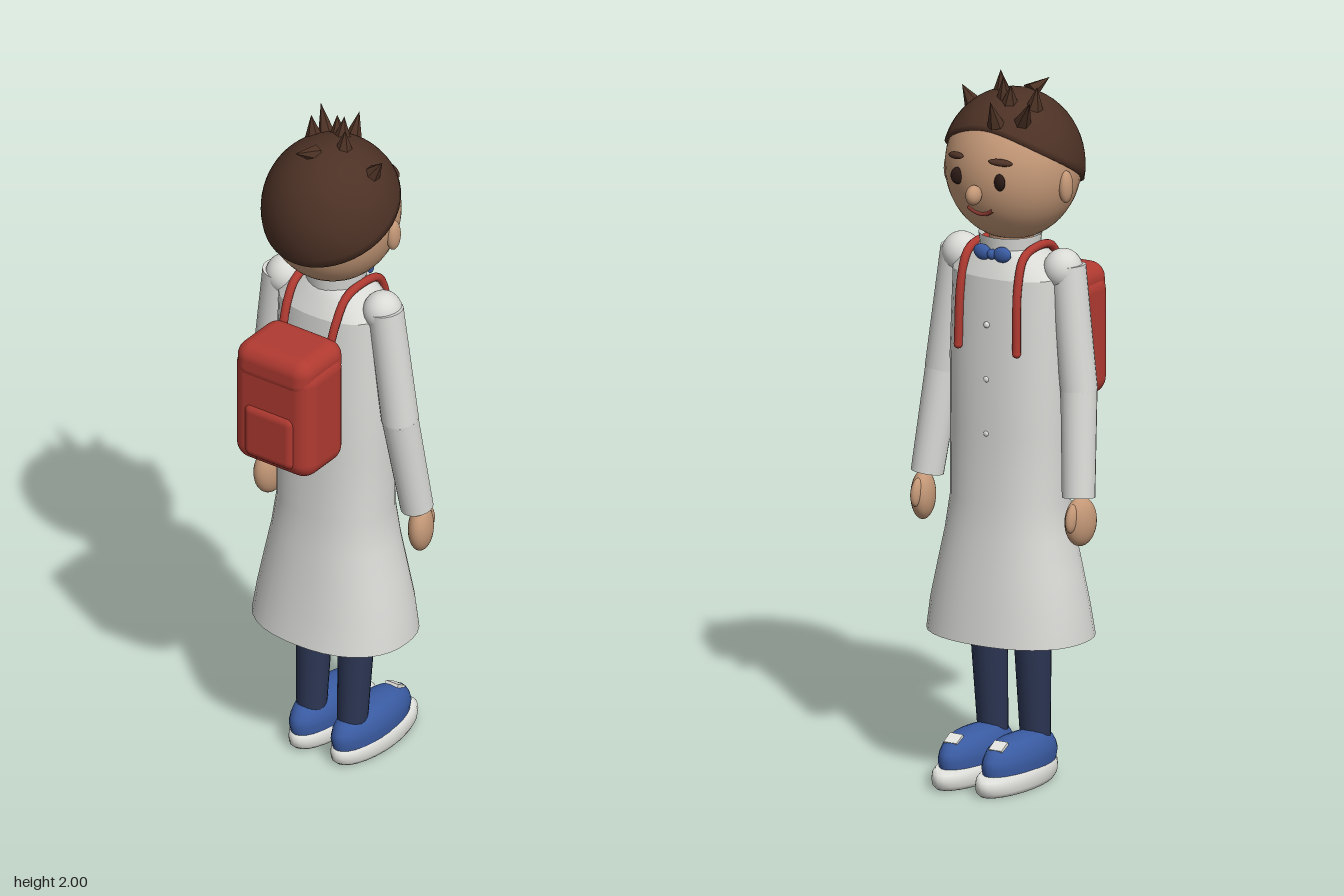
import * as THREE from 'three';
import { RoundedBoxGeometry } from 'three/addons/geometries/RoundedBoxGeometry.js';

const V = (x, y, z) => new THREE.Vector3(x, y, z);

export function createModel() {
  const model = new THREE.Group();
  const colour = (name, hex, extra = {}) => {
    const m = new THREE.MeshStandardMaterial({ color: hex, ...extra });
    m.name = name;
    return m;
  };
  const white = colour('coat white', 0xd9d9d6, { side: THREE.DoubleSide });
  const sole = colour('sole white', 0xe4e4e0);
  const skin = colour('skin', 0xc49877);
  const brown = colour('hair brown', 0x4c3125, { side: THREE.DoubleSide });
  const spikeBrown = colour('spike brown', 0x4c3124, { flatShading: true });
  const red = colour('bag red', 0xb03a31);
  const blue = colour('shoe blue', 0x3a5ba2);
  const navy = colour('trouser navy', 0x2c3654);
  const dark = colour('eye dark', 0x2a1a15);
  const lip = colour('mouth red', 0x8c3b31);

  const add = (name, geometry, material, pos = [0, 0, 0], scale = [1, 1, 1], rot = [0, 0, 0]) => {
    const mesh = new THREE.Mesh(geometry, material);
    mesh.name = name;
    mesh.position.set(...pos);
    mesh.scale.set(...scale);
    mesh.rotation.set(...rot);
    model.add(mesh);
    return mesh;
  };
  const ball = new THREE.SphereGeometry(1, 24, 18);
  const lathe = pts => new THREE.LatheGeometry(pts.map(p => new THREE.Vector2(...p)), 28);

  // tapered limb between two points
  const limb = (name, a, b, ra, rb, material) => {
    const mesh = add(name, new THREE.CylinderGeometry(rb, ra, a.distanceTo(b), 20), material);
    mesh.position.copy(a).lerp(b, 0.5);
    mesh.quaternion.setFromUnitVectors(V(0, 1, 0), b.clone().sub(a).normalize());
    return mesh;
  };

  // closed rings stacked upwards; ring(i, angle) gives a point
  const loft = (rows, cols, ring) => {
    const pos = [], idx = [];
    for (let i = 0; i < rows; i++) {
      for (let j = 0; j < cols; j++) {
        pos.push(...ring(i, (j / cols) * Math.PI * 2));
        if (i === rows - 1) continue;
        const a = i * cols + j, b = i * cols + ((j + 1) % cols);
        idx.push(a, a + cols, b, b, a + cols, b + cols);
      }
    }
    const g = new THREE.BufferGeometry();
    g.setAttribute('position', new THREE.Float32BufferAttribute(pos, 3));
    g.setIndex(idx);
    g.computeVertexNormals();
    return g;
  };
  // rows of [y, half width, half depth, centre z], slightly squared ovals
  const ovals = rows => loft(rows.length, 36, (i, a) => {
    const [y, rx, rz, cz] = rows[i], c = Math.cos(a), s = Math.sin(a);
    const k = Math.pow(Math.abs(c) ** 2.3 + Math.abs(s) ** 2.3, -1 / 2.3);
    return [c * k * rx, y, cz + s * k * rz];
  });

  // coat, open at the hem
  add('coat', ovals([
    [0.41, 0.24, 0.183, -0.027], [0.5, 0.228, 0.17, -0.03], [0.6, 0.207, 0.156, -0.03],
    [0.7, 0.185, 0.143, -0.03], [0.8, 0.17, 0.132, -0.03], [1.0, 0.174, 0.127, -0.028],
    [1.2, 0.175, 0.126, -0.028], [1.44, 0.168, 0.115, -0.028],
  ]), white);
  add('coatYoke', ovals([[1.44, 0.168, 0.115, -0.028], [1.49, 0.12, 0.095, -0.03], [1.515, 0.08, 0.08, -0.03]]), white);
  add('collar', new THREE.CylinderGeometry(0.088, 0.08, 0.07, 24, 1, true), white, [0, 1.515, -0.03]);
  add('neck', new THREE.CylinderGeometry(0.062, 0.062, 0.12, 20), skin, [0, 1.52, -0.025]);
  for (const y of [1.0, 1.155, 1.31]) add('button', ball, sole, [0, y, -0.152], [0.009, 0.009, 0.006]);

  // bow tie
  add('bowKnot', ball, blue, [0, 1.505, -0.125], [0.014, 0.015, 0.013]);

  // head and face
  const hc = V(0, 1.737, -0.015), hr = V(0.188, 0.207, 0.19);
  const faceZ = (x, y) => hc.z - hr.z * Math.sqrt(1 - (x / hr.x) ** 2 - ((y - hc.y) / hr.y) ** 2);
  add('head', new THREE.SphereGeometry(1, 40, 28), skin, hc.toArray(), hr.toArray());
  add('nose', ball, skin, [0, 1.695, -0.218], [0.021, 0.028, 0.027]);
  const smile = [-0.04, -0.02, 0, 0.02, 0.04].map(x => {
    const y = 1.633 + 10 * x * x;
    return V(x, y, faceZ(x, y));
  });
  add('mouth', new THREE.TubeGeometry(new THREE.CatmullRomCurve3(smile), 16, 0.006, 8), lip);

  // hair cap, low at the back and high over the forehead, with a turned-in rim
  const rows = 16;
  add('hair', loft(rows + 1, 48, (i, a) => {
    const c = Math.sin(a);
    const edge = Math.acos(0.06 - 0.52 * c + 0.04 * c * c);
    const t = edge * (1 - Math.max(0, i - 1) / (rows - 1));
    const k = i === 0 ? 0.93 : 1;
    return [0.199 * k * Math.sin(t) * Math.cos(a), hc.y + 0.215 * k * Math.cos(t), hc.z + 0.198 * k * Math.sin(t) * c];
  }), brown);

  // spikes: base x, z then tip x, y, z
  for (const [bx, bz, tx, ty, tz] of [
    [-0.03, -0.15, -0.03, 1.955, -0.18], [-0.09, -0.11, -0.137, 1.96, -0.147],
    [-0.09, -0.05, -0.103, 1.98, -0.055], [-0.03, -0.08, -0.04, 1.985, -0.09],
    [-0.005, -0.065, -0.005, 2.0, -0.075], [0.037, -0.015, 0.04, 2.0, -0.017],
    [0.13, -0.018, 0.165, 1.94, -0.018], [-0.02, 0.04, -0.038, 1.96, 0.11],
  ]) {
    const y = hc.y + 0.205 * Math.sqrt(1 - (bx / 0.199) ** 2 - ((bz - hc.z) / 0.198) ** 2);
    const base = V(bx, y, bz), tip = V(tx, ty, tz);
    const cone = add('hairSpike', new THREE.ConeGeometry(0.025, base.distanceTo(tip), 6), spikeBrown);
    cone.position.copy(base).lerp(tip, 0.5);
    cone.quaternion.setFromUnitVectors(V(0, 1, 0), tip.clone().sub(base).normalize());
  }

  // backpack
  add('backpackBody', new RoundedBoxGeometry(0.265, 0.35, 0.19, 5, 0.05), red, [0, 1.21, 0.19]);
  add('backpackFlap', new RoundedBoxGeometry(0.25, 0.115, 0.2, 5, 0.045), red, [0, 1.353, 0.188]);
  add('backpackPocket', new RoundedBoxGeometry(0.175, 0.172, 0.06, 4, 0.027), red, [0, 1.147, 0.265]);

  // shoe profiles, stretched lengthwise
  const soleShape = lathe([[0, 0], [0.9, 0], [0.98, 0.012], [1, 0.03], [0.98, 0.046], [0.9, 0.055], [0, 0.055]]);
  const shoeShape = lathe([[0.95, 0.045], [1, 0.075], [0.96, 0.095], [0.86, 0.117], [0.65, 0.134], [0.35, 0.141], [0, 0.143]]);

  // mirrored parts
  for (const s of [-1, 1]) {
    add('shoeSole', soleShape, sole, [s * 0.071, 0, -0.11], [0.07, 1, 0.182]);
    add('shoeUpper', shoeShape, blue, [s * 0.071, 0, -0.095], [0.066, 1, 0.166]);
    add('shoePatch', new THREE.BoxGeometry(0.042, 0.009, 0.038), sole, [s * 0.073, 0.13, -0.205], [1, 1, 1], [-0.5, 0, 0]);
    limb('leg', V(s * 0.069, 0.1, -0.01), V(s * 0.073, 0.78, -0.05), 0.042, 0.065, navy);

    // arm with bent elbow
    const elbow = V(s * 0.22, 1.13, -0.025);
    add('shoulder', ball, white, [s * 0.165, 1.463, -0.02], [0.055, 0.058, 0.056]);
    limb('upperSleeve', elbow, V(s * 0.178, 1.475, -0.015), 0.052, 0.05, white);
    add('elbow', ball, white, elbow.toArray(), [0.051, 0.051, 0.051]);
    limb('lowerSleeve', V(s * 0.246, 0.835, -0.068), elbow, 0.046, 0.051, white);
    add('hand', ball, skin, [s * 0.256, 0.77, -0.073], [0.034, 0.07, 0.051], [0, s * 0.3, 0]);
    add('thumb', ball, skin, [s * 0.252, 0.785, -0.112], [0.016, 0.04, 0.022], [0.25, 0, 0]);

    // face details
    add('ear', ball, skin, [s * 0.187, 1.705, -0.04], [0.018, 0.046, 0.024]);
    add('eye', ball, dark, [s * 0.068, 1.735, faceZ(0.068, 1.735)], [0.02, 0.024, 0.012], [0, s * 0.35, 0]);
    add('eyebrow', ball, brown, [s * 0.072, 1.793, faceZ(0.072, 1.793) - 0.012], [0.034, 0.01, 0.014], [0, -s * 0.5, s * -0.12]);
    add('bowWing', ball, blue, [s * 0.032, 1.507, -0.122], [0.028, 0.022, 0.015], [0, 0, s * 0.15]);

    // strap over the shoulder and down the chest
    const path = new THREE.CatmullRomCurve3([
      V(s * 0.08, 1.38, 0.11), V(s * 0.084, 1.45, 0.085), V(s * 0.086, 1.505, 0.045), V(s * 0.088, 1.518, -0.03),
      V(s * 0.09, 1.5, -0.105), V(s * 0.092, 1.42, -0.138), V(s * 0.095, 1.24, -0.148),
    ]);
    add('strap', new THREE.TubeGeometry(path, 32, 0.012, 10), red);
    add('strapEnd', ball, red, [s * 0.095, 1.24, -0.148], [0.012, 0.012, 0.012]);
  }
  return model;
}
